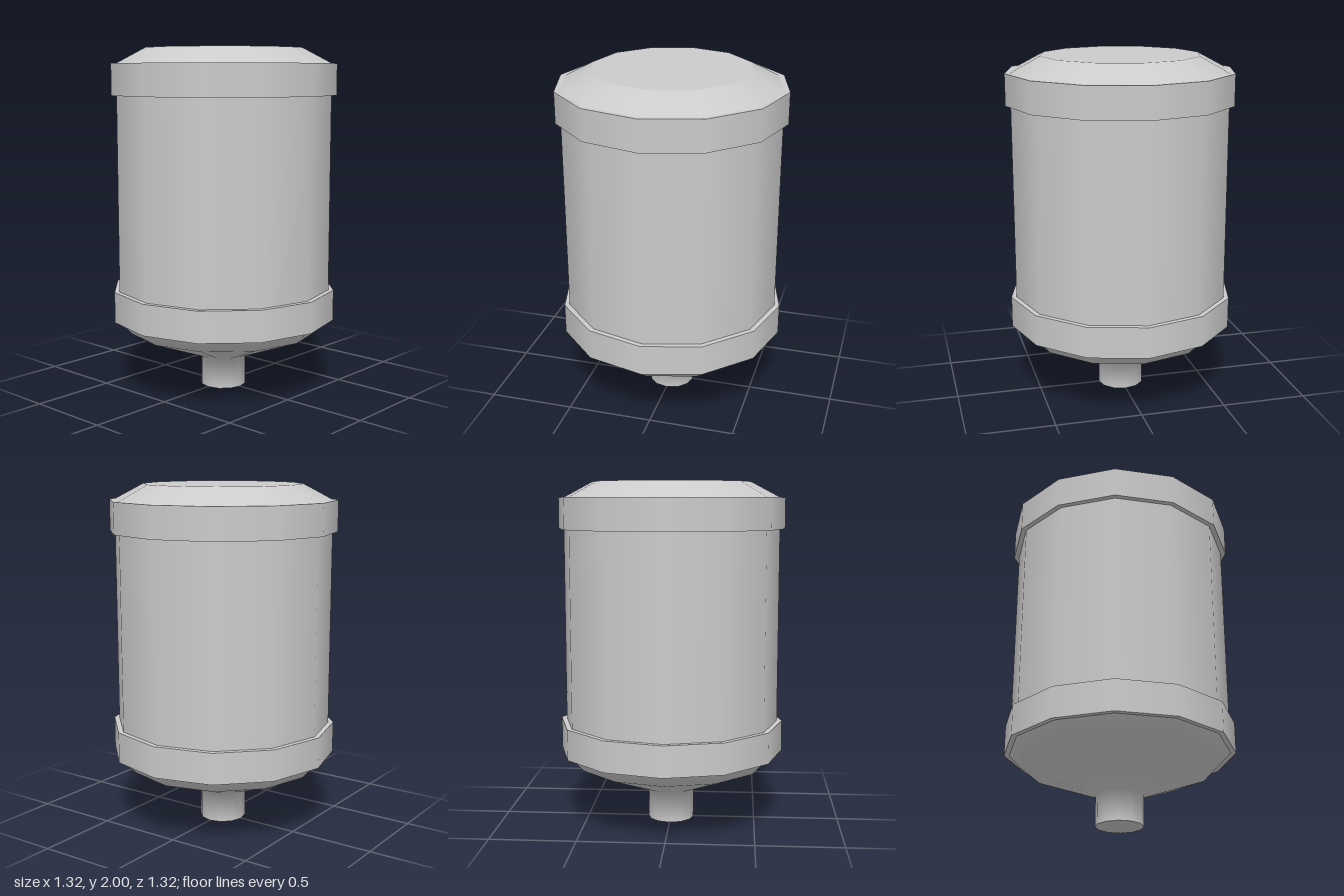
import * as THREE from 'three';

const SIDES = 12;

export function createModel() {
  const group = new THREE.Group();
  const material = new THREE.MeshStandardMaterial({ color: 0xcccccc });

  const add = (name, geometry, y = 0) => {
    const mesh = new THREE.Mesh(geometry, material);
    mesh.name = name;
    mesh.position.y = y;
    group.add(mesh);
  };

  // Twelve-sided section between two heights
  const section = (name, bottomRadius, topRadius, y0, y1, open = false) =>
    add(name, new THREE.CylinderGeometry(topRadius, bottomRadius, y1 - y0, SIDES, 1, open), (y0 + y1) / 2);

  // Tank body, its two bands and the sloped lid
  section('body', 0.63, 0.63, 0.6, 1.73, true);
  section('lowerBand', 0.66, 0.66, 0.42, 0.6);
  section('upperBand', 0.66, 0.66, 1.73, 1.91);
  section('lid', 0.63, 0.46, 1.91, 2);

  // Funnel flowing smoothly into the outlet spout
  const profile = [[0.135, 0], [0.135, 0.18], [0.56, 0.345], [0.63, 0.42]];
  add('funnel', new THREE.LatheGeometry(profile.map(([r, y]) => new THREE.Vector2(r, y)), SIDES));

  // Flat end of the spout
  const end = new THREE.CircleGeometry(0.135, SIDES);
  end.rotateX(Math.PI / 2);
  add('spoutEnd', end);

  return group;
}
